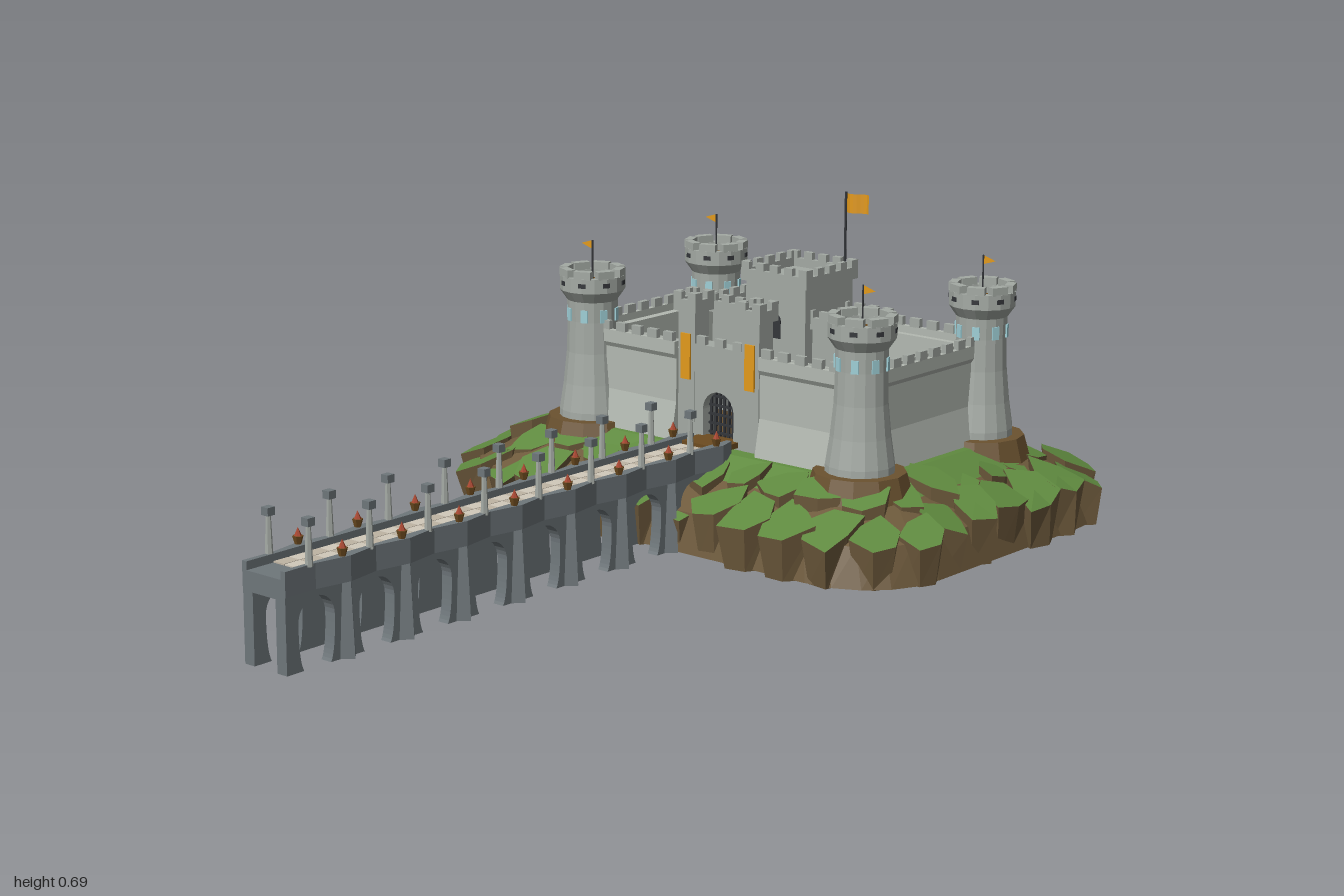
import * as THREE from 'three';

const mat = (color, extra = {}) => new THREE.MeshStandardMaterial({ color, flatShading: true, ...extra });
const M = {
  stone: mat(0xa4aaa4), pale: mat(0xb4bab2), bridge: mat(0x6f777b), iron: mat(0x34363a), glass: mat(0x9fd0d8),
  rock: mat(0x6e5a3c, { side: THREE.DoubleSide }), grass: mat(0x5f8a3f, { side: THREE.DoubleSide }),
  dirt: mat(0x6b5230, { side: THREE.DoubleSide }), wood: mat(0x6e4c20), paving: mat(0xd2cabb), paving2: mat(0xbfb5a4),
  cloth: mat(0xe39a1c, { side: THREE.DoubleSide }), tile: mat(0x7d6238), flame: mat(0xa8432a)
};
const CZ = 0.018; // castle and bridge axis

let seed = 7;
const rnd = () => (seed = (seed * 16807) % 2147483647) / 2147483647;

function add(parent, name, geo, material, x = 0, y = 0, z = 0) {
  const m = new THREE.Mesh(geo, material);
  m.name = name;
  m.position.set(x, y, z);
  parent.add(m);
  return m;
}
// box standing on y
const box = (p, name, material, w, h, d, x, y, z) => add(p, name, new THREE.BoxGeometry(w, h, d), material, x, y + h / 2, z);

function group(parent, name, x = 0, y = 0, z = 0) {
  const g = new THREE.Group();
  g.name = name;
  g.position.set(x, y, z);
  parent.add(g);
  return g;
}

// evenly spaced battlement blocks between two points
function merlons(p, x0, z0, x1, z1, y, size, h, pitch) {
  const n = Math.max(1, Math.round(Math.hypot(x1 - x0, z1 - z0) / pitch));
  const alongX = Math.abs(x1 - x0) > Math.abs(z1 - z0);
  for (let i = 0; i <= n; i++) {
    const t = i / n;
    box(p, 'merlon', M.stone, alongX ? size : 0.012, h, alongX ? 0.012 : size, x0 + (x1 - x0) * t, y, z0 + (z1 - z0) * t);
  }
}

// square block with an overhanging, crenellated parapet
function crenelBlock(parent, name, w, d, x, z, y0, y1) {
  const g = group(parent, name, x, 0, z), a = w / 2, b = d / 2;
  box(g, 'body', M.stone, w - 0.016, y1 - 0.035 - y0, d - 0.016, 0, y0, 0);
  for (const s of [-1, 1]) {
    box(g, 'parapet', M.stone, w, 0.026, 0.012, 0, y1 - 0.042, s * (b - 0.006));
    box(g, 'parapet', M.stone, 0.012, 0.026, d, s * (a - 0.006), y1 - 0.042, 0);
    merlons(g, -a + 0.011, s * (b - 0.006), a - 0.011, s * (b - 0.006), y1 - 0.016, 0.022, 0.016, 0.037);
    merlons(g, s * (a - 0.006), -b + 0.011, s * (a - 0.006), b - 0.011, y1 - 0.016, 0.022, 0.016, 0.037);
  }
  return g;
}

// island outline, a rounded rectangle shrunk by inset
function outline(inset, n) {
  const a = 0.455 - inset, b = 0.63 - inset, r = 0.19 - inset * 0.5, s = new THREE.Shape();
  s.absarc(a - r, b - r, r, 0, Math.PI / 2);
  s.absarc(-a + r, b - r, r, Math.PI / 2, Math.PI);
  s.absarc(-a + r, -b + r, r, Math.PI, Math.PI * 1.5);
  s.absarc(a - r, -b + r, r, Math.PI * 1.5, Math.PI * 2);
  s.closePath();
  return s.getSpacedPoints(n).slice(0, n);
}

// band of ground between two insets and heights
function band(parent, name, material, i0, y0, i1, y1) {
  const n = 64, pos = [], idx = [];
  [[i0, y0], [i1, y1]].forEach(([i, y]) => outline(i, n).forEach(p => pos.push(p.x + 0.53, y, p.y)));
  for (let k = 0; k < n; k++) {
    const j = (k + 1) % n;
    idx.push(k, n + k, j, j, n + k, n + j);
  }
  const g = new THREE.BufferGeometry();
  g.setAttribute('position', new THREE.Float32BufferAttribute(pos, 3));
  g.setIndex(idx);
  g.computeVertexNormals();
  add(parent, name, g, material);
}

// irregular boulder with a grassy top tilted outwards
function boulder(parent, x, z, nx, nz, r, h, tilt) {
  const g = new THREE.CylinderGeometry(r, r * 0.72, 1, 6), p = g.attributes.position;
  const a0 = rnd() * 6.28, a1 = rnd() * 6.28, lean = (rnd() - 0.5) * 0.4;
  for (let i = 0; i < p.count; i++) {
    const t = Math.atan2(p.getZ(i), p.getX(i)), f = 1 + 0.18 * Math.sin(2 * t + a0) + 0.13 * Math.sin(3 * t + a1);
    const px = p.getX(i) * f, pz = p.getZ(i) * f;
    const out = px * nx + pz * nz, side = px * nz - pz * nx;
    const y = p.getY(i) > 0 ? h - tilt * out + lean * side : 0;
    p.setXYZ(i, Math.min(px, 0.998 - x), y, THREE.MathUtils.clamp(pz, -0.64 - z, 0.64 - z));
  }
  add(parent, 'boulder', g, [M.rock, M.grass, M.rock], x, 0, z);
}

function buildIsland(root) {
  const g = group(root, 'island');
  band(g, 'islandUnderside', M.rock, 0.1, 0.002, 0.01, 0.002);
  band(g, 'cliff', M.rock, 0.01, 0.002, 0.03, 0.085);
  band(g, 'rockySlope', M.rock, 0.03, 0.085, 0.13, 0.135);
  band(g, 'grassSlope', M.grass, 0.13, 0.135, 0.2, 0.172);
  band(g, 'lawn', M.grass, 0.2, 0.172, 0.27, 0.181);
  band(g, 'innerGround', M.dirt, 0.27, 0.181, 0.44, 0.181);
  for (const [inset, n, r, h, tilt] of [[0.045, 38, 0.062, 0.108, 0.4], [0.135, 31, 0.048, 0.148, 0.35]]) {
    const pts = outline(inset, n);
    pts.forEach((p, i) => {
      const q = pts[(i + 1) % n], o = pts[(i + n - 1) % n];
      const t = new THREE.Vector2().subVectors(q, o).normalize();
      const jit = (rnd() - 0.5) * 0.03;
      boulder(g, p.x + 0.53 + t.y * jit, p.y - t.x * jit, t.y, -t.x, r * (0.8 + rnd() * 0.4), h + (rnd() - 0.5) * 0.035, tilt);
    });
  }
  // courtyard floor with patches of paler paving
  box(g, 'courtyard', M.dirt, 0.37, 0.008, 0.68, 0.53, 0.179, CZ);
  for (let i = 0; i < 45; i++)
    box(g, 'flagstone', i % 2 ? M.tile : M.wood, 0.03 + rnd() * 0.03, 0.002, 0.025 + rnd() * 0.03,
      0.38 + rnd() * 0.29, 0.1862 + i * 0.00002, CZ - 0.3 + rnd() * 0.6);
}

function buildTower(root, x, z, flagDir) {
  const g = group(root, 'tower', x, 0, z);
  add(g, 'mound', new THREE.CylinderGeometry(0.098, 0.118, 0.07, 12), M.dirt, 0, 0.15, 0);
  const profile = [[0.074, 0.16], [0.073, 0.2], [0.064, 0.26], [0.057, 0.33], [0.055, 0.4], [0.056, 0.445], [0.072, 0.468],
    [0.072, 0.5], [0.052, 0.5], [0.052, 0.478], [0, 0.478]].map(p => new THREE.Vector2(...p));
  add(g, 'shaft', new THREE.LatheGeometry(profile, 16), M.stone);
  add(g, 'roofFloor', new THREE.CylinderGeometry(0.052, 0.052, 0.004, 16), M.wood, 0, 0.48, 0);
  for (let i = 0; i < 8; i++) {
    const a = (i + 0.5) * Math.PI / 4;
    const m = box(g, 'merlon', M.stone, 0.019, 0.018, 0.038, Math.cos(a) * 0.0605, 0.498, Math.sin(a) * 0.0605);
    m.rotation.y = -a;
    const s = box(g, 'arrowSlit', M.iron, 0.004, 0.01, 0.016, Math.cos(a) * 0.07, 0.48, Math.sin(a) * 0.07);
    s.rotation.y = -a;
    const w = box(g, 'window', M.glass, 0.006, 0.028, 0.016, Math.cos(a) * 0.0545, 0.4, Math.sin(a) * 0.0545);
    w.rotation.y = -a;
  }
  add(g, 'flagPole', new THREE.CylinderGeometry(0.002, 0.002, 0.095, 6), M.iron, 0, 0.5275, 0);
  const pennant = new THREE.Shape([[0, 0.555], [0, 0.575], [0.032, 0.565]].map(p => new THREE.Vector2(...p)));
  add(g, 'pennant', new THREE.ShapeGeometry(pennant), M.cloth).rotation.y = -flagDir * Math.PI / 2;
}

// curtain wall with a battered base, local +x faces outwards
function buildWall(root, len, x, z, turn) {
  const g = group(root, 'curtainWall', x, 0, z);
  g.rotation.y = turn;
  const s = new THREE.Shape([[-0.025, 0.165], [0.042, 0.165], [0.025, 0.255], [0.025, 0.35], [0.031, 0.36], [0.031, 0.388],
    [0.019, 0.388], [0.019, 0.372], [-0.019, 0.372], [-0.019, 0.38], [-0.025, 0.38]].map(p => new THREE.Vector2(...p)));
  add(g, 'wall', new THREE.ExtrudeGeometry(s, { depth: len, bevelEnabled: false }), M.pale, 0, 0, -len / 2);
  merlons(g, 0.025, -len / 2 + 0.02, 0.025, len / 2 - 0.02, 0.387, 0.026, 0.02, 0.045);
}

function buildGate(root) {
  const g = group(root, 'gatehouse', 0.325, 0, CZ);
  const s = new THREE.Shape();
  s.moveTo(-0.065, 0.165); s.lineTo(-0.042, 0.165); s.lineTo(-0.042, 0.25);
  s.absarc(0, 0.25, 0.042, Math.PI, 0, true);
  s.lineTo(0.042, 0.165); s.lineTo(0.065, 0.165); s.lineTo(0.065, 0.39); s.lineTo(-0.065, 0.39);
  const arch = add(g, 'gateArch', new THREE.ExtrudeGeometry(s, { depth: 0.044, bevelEnabled: false }), M.stone, -0.022, 0, 0);
  arch.rotation.y = Math.PI / 2;
  merlons(g, -0.016, -0.05, -0.016, 0.05, 0.388, 0.024, 0.02, 0.045);
  for (let i = -3; i <= 3; i++) box(g, 'portcullisBar', M.iron, 0.006, 0.12, 0.005, 0, 0.175, i * 0.012);
  for (let i = 0; i < 5; i++) box(g, 'portcullisRail', M.iron, 0.006, 0.005, 0.084, 0, 0.195 + i * 0.02, 0);
  for (const d of [-1, 1]) {
    crenelBlock(g, 'gateTower', 0.062, 0.062, 0, d * 0.088, 0.165, 0.5);
    box(g, 'banner', M.cloth, 0.004, 0.1, 0.026, -0.026, 0.31, d * 0.088);
  }
  box(g, 'drawbridge', M.wood, 0.08, 0.012, 0.11, -0.045, 0.18, 0);
}

function buildKeep(root) {
  const g = group(root, 'keep', 0, 0, CZ);
  crenelBlock(g, 'lowerKeep', 0.135, 0.41, 0.58, 0, 0.18, 0.45);
  crenelBlock(g, 'upperKeep', 0.182, 0.18, 0.578, 0, 0.18, 0.54);
  for (const s of [-1, 1]) for (const y of [0.24, 0.38]) {
    box(g, 'window', M.iron, 0.006, 0.04, 0.03, 0.578 + s * 0.0825, y, 0);
    const top = add(g, 'windowArch', new THREE.CylinderGeometry(0.015, 0.015, 0.006, 12), M.iron, 0.578 + s * 0.0825, y + 0.04, 0);
    top.rotation.z = Math.PI / 2;
  }
  add(g, 'mainFlagPole', new THREE.CylinderGeometry(0.003, 0.003, 0.19, 6), M.iron, 0.645, 0.595, 0.072);
  const f = new THREE.PlaneGeometry(0.056, 0.042, 8, 1), p = f.attributes.position;
  for (let i = 0; i < p.count; i++) p.setZ(i, 0.007 * Math.sin((p.getX(i) + 0.028) * 100));
  f.computeVertexNormals();
  add(g, 'mainFlag', f, M.cloth, 0.648, 0.666, 0.1).rotation.y = -Math.PI / 2;
}

function buildBridge(root) {
  const g = group(root, 'bridge', 0, 0, CZ - 0.002), pitch = 0.155, N = 8, x0 = -0.923, end = 0.28;
  // arcade silhouette with splayed pier feet
  const s = new THREE.Shape();
  s.moveTo(-1, 0);
  for (let i = 0; i < N; i++) {
    const c = x0 + i * pitch;
    s.lineTo(c - 0.034, 0);
    s.quadraticCurveTo(c - 0.046, 0.02, c - 0.046, 0.092);
    s.absarc(c, 0.092, 0.046, Math.PI, 0, true);
    s.quadraticCurveTo(c + 0.046, 0.02, c + 0.034, 0);
  }
  s.lineTo(end, 0); s.lineTo(end, 0.175); s.lineTo(-1, 0.175);
  const arcade = new THREE.ExtrudeGeometry(s, { depth: 0.026, bevelEnabled: false, curveSegments: 8 });
  for (const d of [-1, 1]) {
    add(g, 'arcade', arcade, M.bridge, 0, 0, d * 0.044 - 0.013);
    // zigzag parapet, pointed above each pier
    const q = new THREE.Shape();
    q.moveTo(-1, 0.046); q.lineTo(-1, 0.058);
    for (let i = 0; i < N; i++) {
      q.lineTo(x0 + i * pitch, 0.057);
      q.lineTo(Math.min(x0 + (i + 0.5) * pitch, end), 0.07);
    }
    q.lineTo(end, 0.058); q.lineTo(end, 0.046);
    const par = add(g, 'parapet', new THREE.ExtrudeGeometry(q, { depth: 0.05, bevelEnabled: false }), M.bridge, 0, 0.15, 0);
    par.rotation.x = -Math.PI / 2;
    if (d > 0) { par.rotation.x = Math.PI / 2; par.position.y = 0.2; }
    for (let i = 0; i < N; i++) {
      const c = x0 + i * pitch, m = c + pitch / 2;
      add(g, 'cutwater', new THREE.CylinderGeometry(0.013, 0.022, 0.16, 4), M.bridge, m, 0.08, d * 0.055);
      const lx = c - 0.013;
      add(g, 'lampPost', new THREE.CylinderGeometry(0.005, 0.008, 0.08, 6), M.stone, lx, 0.236, d * 0.054);
      box(g, 'lampHead', M.bridge, 0.018, 0.016, 0.018, lx, 0.274, d * 0.054);
      add(g, 'torchBowl', new THREE.CylinderGeometry(0.011, 0.006, 0.018, 6), M.wood, m - 0.012, 0.207, d * 0.06);
      add(g, 'torchFlame', new THREE.ConeGeometry(0.008, 0.018, 6), M.flame, m - 0.012, 0.224, d * 0.06);
    }
  }
  // roadway with rows of paving slabs
  box(g, 'roadBed', M.bridge, end + 1, 0.04, 0.094, (end - 1) / 2, 0.143, 0);
  for (let i = 0; i < 30; i++) for (let k = 0; k < 3; k++)
    box(g, 'pavingSlab', (i + k) % 2 ? M.paving : M.paving2, 0.0375, 0.005, 0.029, -0.915 + i * 0.039, 0.181, (k - 1) * 0.031);
}

export function createModel() {
  const root = new THREE.Group();
  root.name = 'castleIsland';
  buildIsland(root);
  for (const x of [0.315, 0.74]) for (const s of [-1, 1]) buildTower(root, x, CZ + s * 0.37, s);
  buildWall(root, 0.68, 0.735, CZ, 0);
  buildWall(root, 0.36, 0.528, CZ - 0.362, Math.PI / 2);
  buildWall(root, 0.36, 0.528, CZ + 0.358, -Math.PI / 2);
  for (const s of [-1, 1]) buildWall(root, 0.22, 0.325, CZ + s * 0.225, Math.PI);
  buildGate(root);
  buildKeep(root);
  buildBridge(root);
  return root;
}
